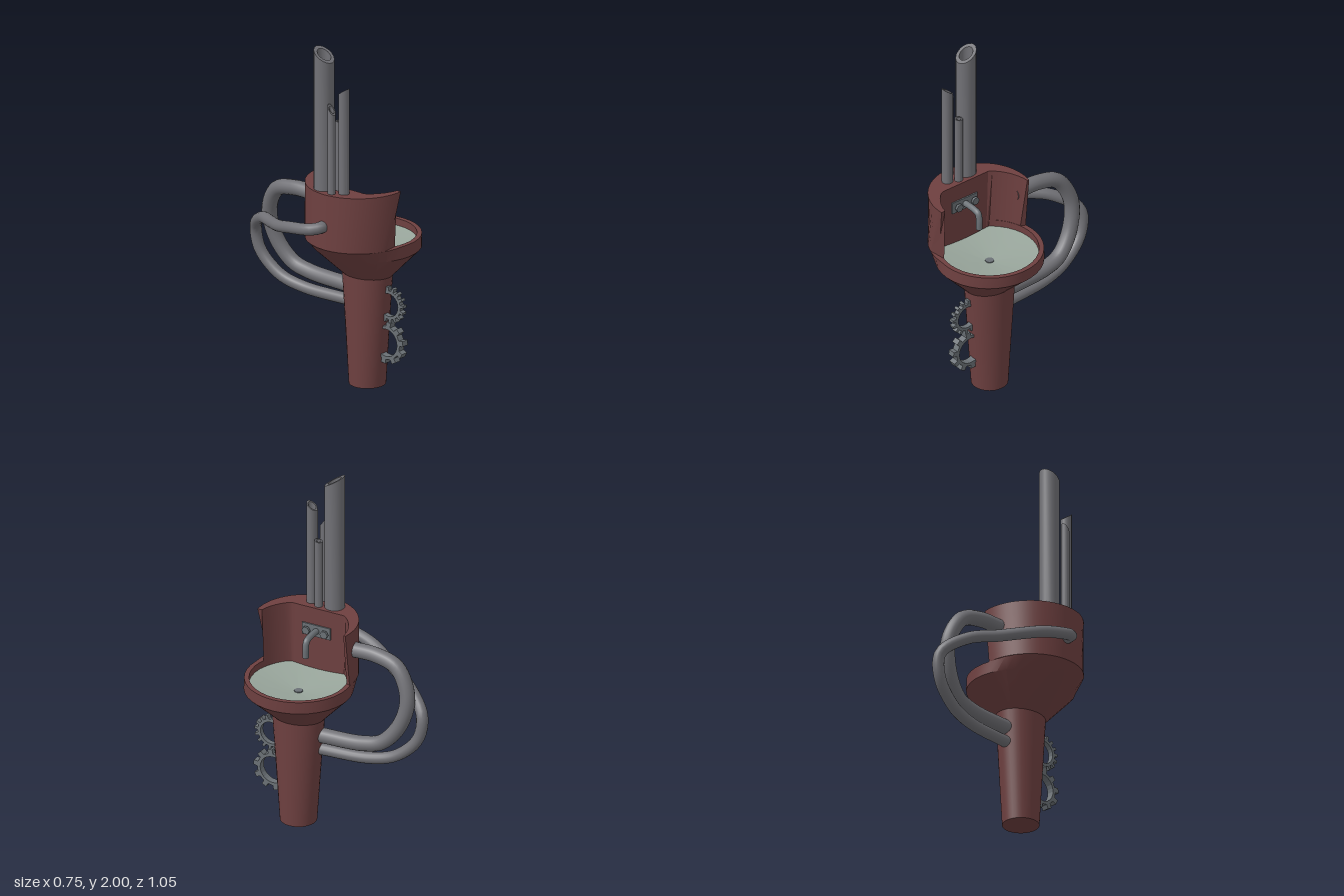
import * as THREE from 'three';
import { toCreasedNormals } from 'three/addons/utils/BufferGeometryUtils.js';

const mat = (name, color) => Object.assign(new THREE.MeshStandardMaterial({ color }), { name });
const V = (x, y, z) => new THREE.Vector3(x, y, z);
const CX = 0.077, CZ = 0.227; // axis of the bowl and pedestal

// Skin over a list of closed rings, each holding the same number of points
function loft(rings) {
  const n = rings[0].length, idx = [];
  for (let r = 0; r < rings.length - 1; r++) {
    for (let i = 0; i < n; i++) {
      const p = r * n + i, q = r * n + (i + 1) % n;
      idx.push(p, p + n, q, q, p + n, q + n);
    }
  }
  const g = new THREE.BufferGeometry().setFromPoints(rings.flat());
  g.setIndex(idx);
  g.computeVertexNormals();
  return toCreasedNormals(g, 0.5);
}

// Horizontal ring around the bowl axis
function ring(y, rx, rz = rx) {
  return Array.from({ length: 36 }, (_, i) => {
    const a = (i / 36) * Math.PI * 2;
    const fx = typeof rx === 'function' ? rx(a) : rx;
    const fz = typeof rx === 'function' ? fx : rz;
    return V(CX + fx * Math.cos(a), y, CZ + fz * Math.sin(a));
  });
}

// Rim outline: the bowl circle joined with the circle of the splash wall
const rim = a => Math.max(0.297, -CX * Math.cos(a) + Math.sqrt(0.29 ** 2 - (CX * Math.sin(a)) ** 2));

// Curved splash wall with slanted ends and a flat middle on the inside
function wallGeometry() {
  const N = 32, rad = Math.PI / 180, sections = [];
  const at = (cx, r, from, to, t, y) => {
    const a = (from + (to - from) * t) * rad;
    return V(cx + r * Math.cos(a), y, CZ - 0.002 + r * Math.sin(a));
  };
  for (let i = 0; i <= N; i++) {
    const t = i / N;
    const s = [
      at(0, 0.29, 86.6, 283.5, t, 1.19),
      at(0, 0.29, 110, 276, t, 0.87),
      at(CX, 0.27, 106.6, 255, t, 0.81),
      at(CX, 0.27, 103, 268, t, 1.19),
    ];
    for (const p of s.slice(2)) p.x = Math.max(p.x, -0.137);
    sections.push(s);
  }
  const cap = s => {
    const c = s.reduce((m, p) => m.add(p), V(0, 0, 0)).divideScalar(4);
    return s.map(() => c.clone());
  };
  return loft([cap(sections[0]), ...sections, cap(sections[N])]);
}

// Hollow upright pipe whose mouth is cut at a slant along z
function stackGeometry(ro, ri, height, slope) {
  const pts = [[ro, 0], [ro, height], [ri, height], [ri, height - 0.15], [0, height - 0.15]];
  const g = new THREE.LatheGeometry(pts.map(p => new THREE.Vector2(...p)), 18);
  const pos = g.attributes.position;
  for (let i = 0; i < pos.count; i++) {
    if (pos.getY(i) > height - 0.01) pos.setY(i, pos.getY(i) + slope * pos.getZ(i));
  }
  return toCreasedNormals(g, 0.6);
}

// Ring gear with tapered teeth
function gearGeometry(teeth, root, tip, hole, depth) {
  const shape = new THREE.Shape(), step = (Math.PI * 2) / teeth;
  for (let i = 0; i < teeth; i++) {
    [[0, root], [0.5, root], [0.56, tip], [0.94, tip]].forEach(([f, r], k) => {
      const a = (i + f) * step, x = r * Math.cos(a), y = r * Math.sin(a);
      if (i + k === 0) shape.moveTo(x, y); else shape.lineTo(x, y);
    });
  }
  shape.closePath();
  shape.holes.push(new THREE.Path().absarc(0, 0, hole, 0, Math.PI * 2, true));
  const g = new THREE.ExtrudeGeometry(shape, { depth, bevelEnabled: false, curveSegments: 12 });
  return g.translate(0, 0, -depth / 2).rotateY(Math.PI / 2);
}

const tube = (pts, r, sides = 16) =>
  new THREE.TubeGeometry(new THREE.CatmullRomCurve3(pts.map(p => V(...p))), 56, r, sides);

export function createModel() {
  const group = new THREE.Group();
  const brown = mat('reddish brown body', 0x6e4040);
  const pipeGrey = mat('pipe grey', 0x717176);
  const steel = mat('steel grey', 0x6b7176);
  const green = mat('pale green basin', 0x98a59b);
  const add = (name, geometry, material, x = 0, y = 0, z = 0) => {
    const m = new THREE.Mesh(geometry, material);
    m.name = name;
    m.position.set(x, y, z);
    group.add(m);
    return m;
  };

  // Pedestal, flared bowl and rim in one skin
  add('pedestalBowl', loft([
    ring(0, 0), ring(0, 0.102), ring(0.64, 0.121, 0.15), ring(0.8, 0.295, 0.3),
    ring(0.87, rim), ring(0.87, 0.27), ring(0.82, 0.27),
  ]), brown);
  add('splashWall', wallGeometry(), brown);

  // Basin floor sloping to the drain
  add('basinFloor', loft([ring(0.83, 0.27), ring(0.785, 0.022), ring(0.785, 0)]), green);
  add('drain', new THREE.CylinderGeometry(0.024, 0.024, 0.006, 18), steel, CX, 0.787, CZ);

  // Upright pipes: x, z, outer radius, bore, top, slope of the mouth
  const stacks = [
    ['tallPipe', -0.21, 0.16, 0.057, 0.038, 1.965, -0.64],
    ['mediumPipe', -0.203, 0.296, 0.031, 0.022, 1.78, 0.7],
    ['shortPipe', -0.175, 0.24, 0.023, 0.014, 1.59, 0.1],
    ['thinPipe', -0.248, 0.246, 0.022, 0.014, 1.675, -1.3],
  ];
  for (const [name, x, z, ro, ri, top, slope] of stacks) {
    add(name, stackGeometry(ro, ri, top - 1.15, slope), pipeGrey, x, 1.15, z);
  }

  // Bent pipes behind the body
  add('thickBentPipe', tube([
    [-0.035, 1.06, -0.03], [-0.035, 1.06, -0.2], [-0.025, 1.02, -0.33], [0, 0.87, -0.405],
    [0.025, 0.71, -0.375], [0.05, 0.59, -0.28], [0.06, 0.555, -0.17], [0.065, 0.54, 0.12],
  ], 0.043), pipeGrey);
  add('thinBentPipe', tube([
    [-0.27, 1.0, 0.215], [-0.325, 1.0, 0.212], [-0.345, 0.99, 0.17], [-0.325, 0.96, 0.01],
    [-0.28, 0.93, -0.1], [-0.2, 0.9, -0.22], [-0.11, 0.87, -0.36], [-0.02, 0.77, -0.485],
    [0.0, 0.63, -0.47], [0.02, 0.51, -0.35], [0.04, 0.465, -0.2], [0.065, 0.455, 0.12],
  ], 0.033), pipeGrey);

  // Gears let into the pedestal front
  add('upperGear', gearGeometry(16, 0.083, 0.104, 0.066, 0.03), steel, 0.076, 0.49, 0.39);
  add('lowerGear', gearGeometry(10, 0.097, 0.122, 0.079, 0.042), steel, 0.077, 0.27, 0.375);

  // Tap: backing plate, spout and two knobs
  add('tapPlate', new THREE.BoxGeometry(0.012, 0.07, 0.175), steel, -0.135, 1.055, 0.232);
  add('spout', tube([
    [-0.14, 1.055, 0.23], [-0.06, 1.055, 0.23], [-0.02, 1.045, 0.23], [-0.009, 1.01, 0.23], [-0.009, 0.95, 0.23],
  ], 0.018, 12), steel);
  add('spoutMouth', new THREE.CircleGeometry(0.018, 12).rotateX(Math.PI / 2), steel, -0.009, 0.951, 0.23);
  for (const z of [0.173, 0.285]) {
    add('knobStem', new THREE.CylinderGeometry(0.012, 0.012, 0.03, 10).rotateZ(Math.PI / 2), steel, -0.125, 1.055, z);
    add('knob', new THREE.CylinderGeometry(0.024, 0.024, 0.014, 6).rotateZ(Math.PI / 2), steel, -0.113, 1.055, z);
  }
  return group;
}
